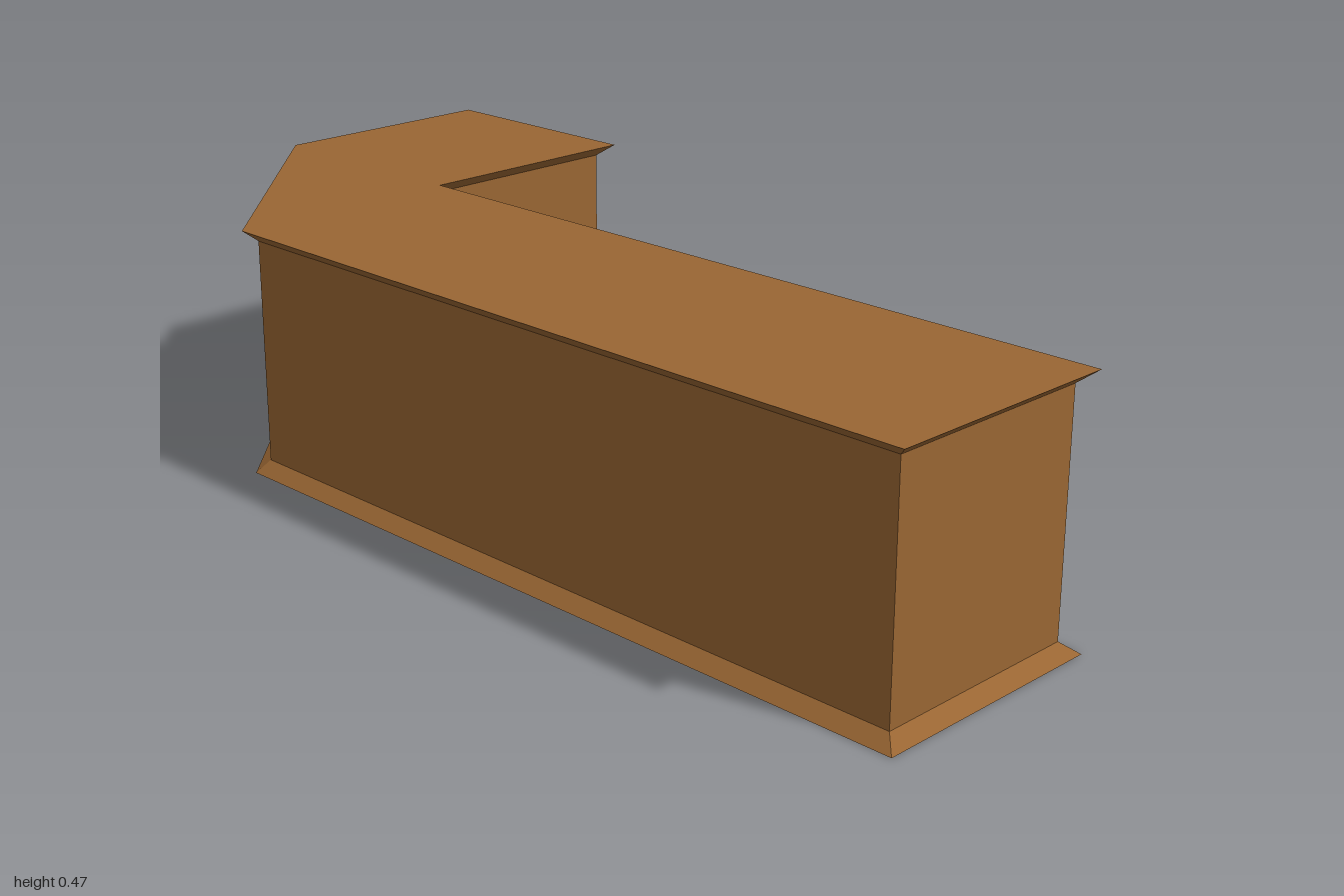
import * as THREE from 'three';

// Plan of the counter as [x, -z], counter-clockwise seen from above
const PLAN = [
  [-0.472, -1], [-0.004, -1], [-0.004, 0.532], [0.472, 0.532],
  [0.472, 1], [-0.004, 1], [-0.472, 0.532],
].map(([x, y]) => new THREE.Vector2(x, y));

const HEIGHT = 0.472, LIP = 0.022, INSET = 0.027;

// Moves every edge of the plan inwards by d, with mitred corners
function insetPlan(d) {
  const n = PLAN.length;
  const inward = PLAN.map((p, i) => {
    const e = PLAN[(i + 1) % n].clone().sub(p).normalize();
    return new THREE.Vector2(-e.y, e.x);
  });
  return PLAN.map((p, i) => {
    const a = inward[(i + n - 1) % n], b = inward[i];
    return p.clone().addScaledVector(a.clone().add(b), d / (1 + a.dot(b)));
  });
}

// Flat-faced walls between two outlines, with optional end caps
function loft(low, y0, high, y1, capBottom, capTop) {
  const pos = [];
  const put = (p, y) => pos.push(p.x, y, -p.y);
  low.forEach((a, i) => {
    const j = (i + 1) % low.length;
    put(a, y0); put(low[j], y0); put(high[i], y1);
    put(low[j], y0); put(high[j], y1); put(high[i], y1);
  });
  if (capBottom) {
    for (const [a, b, c] of THREE.ShapeUtils.triangulateShape(low, [])) [a, c, b].forEach(k => put(low[k], y0));
  }
  if (capTop) {
    for (const t of THREE.ShapeUtils.triangulateShape(high, [])) t.forEach(k => put(high[k], y1));
  }
  const g = new THREE.BufferGeometry();
  g.setAttribute('position', new THREE.Float32BufferAttribute(pos, 3));
  g.computeVertexNormals();
  return g;
}

export function createModel() {
  const group = new THREE.Group();
  group.name = 'cornerCounter';
  const wood = new THREE.MeshStandardMaterial({ color: 0x996633 });
  wood.name = 'brown wood';

  const outer = insetPlan(0), inner = insetPlan(INSET);
  const add = (name, geometry) => {
    const mesh = new THREE.Mesh(geometry, wood);
    mesh.name = name;
    group.add(mesh);
  };

  // Base flaring out to the floor, upright walls, top flaring out again
  add('base', loft(outer, 0, inner, LIP, true, false));
  add('body', loft(inner, LIP, inner, HEIGHT - LIP, false, false));
  add('counterTop', loft(inner, HEIGHT - LIP, outer, HEIGHT, false, true));
  return group;
}
